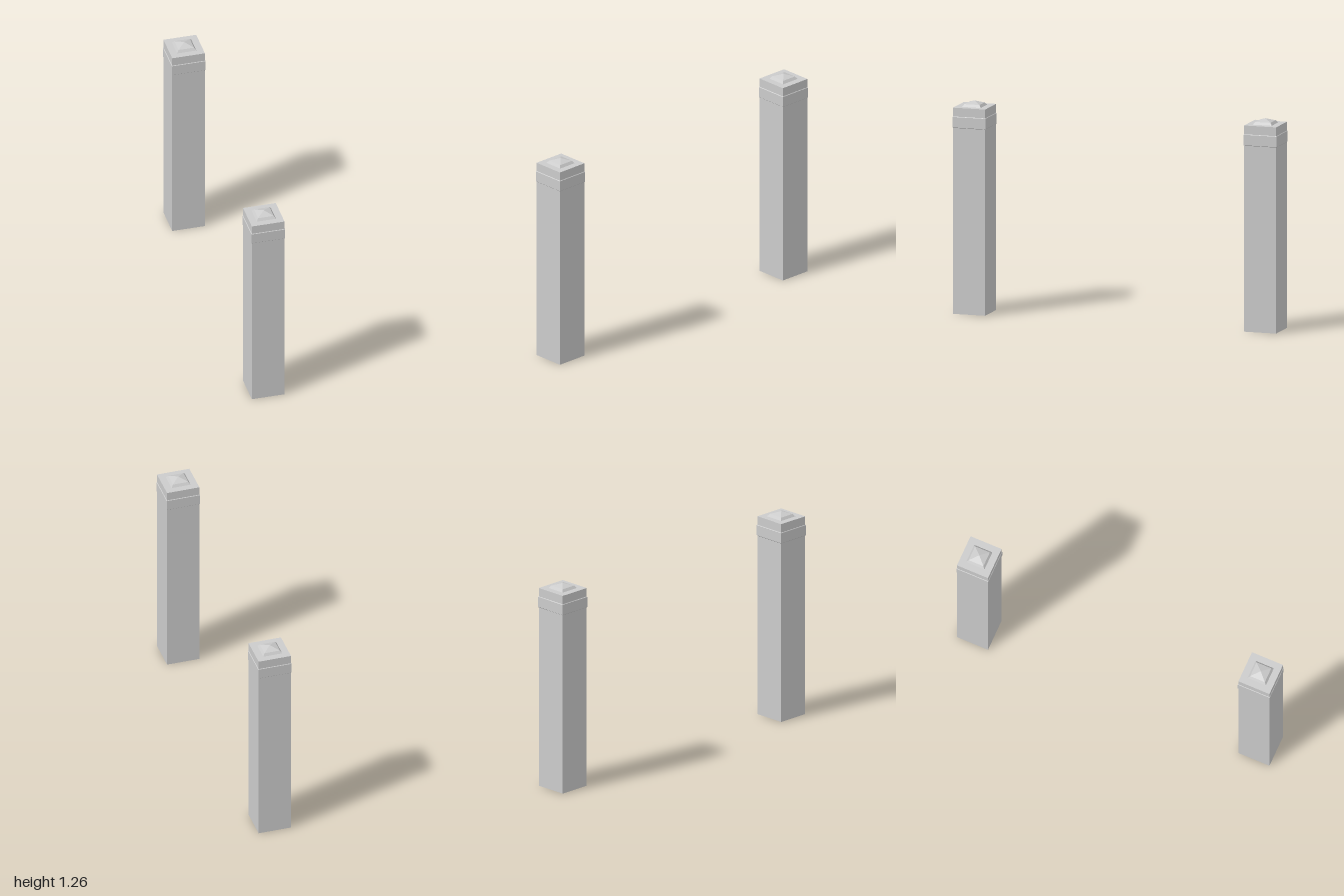
import * as THREE from 'three';

const material = new THREE.MeshStandardMaterial({ color: 0xcccccc, flatShading: true });

// Square solid from [half width, height] pairs, listed bottom to top
function squareTurned(name, profile) {
  const points = profile.map(([half, y]) => new THREE.Vector2(half * Math.SQRT2, y));
  const mesh = new THREE.Mesh(new THREE.LatheGeometry(points, 4, Math.PI / 4), material);
  mesh.name = name;
  return mesh;
}

function createPost(name) {
  const post = new THREE.Group();
  post.name = name;

  // Plain square shaft
  const shaft = new THREE.Mesh(new THREE.BoxGeometry(0.198, 1.225, 0.198), material);
  shaft.position.y = 1.225 / 2;
  shaft.name = 'shaft';

  // Thin collar with slightly bevelled edges
  const collar = squareTurned('collar', [
    [0.098, 1.104], [0.102, 1.108], [0.102, 1.17], [0.098, 1.174],
  ]);

  // Low two-slope pyramid on top
  const cap = squareTurned('cap', [[0.059, 1.224], [0.047, 1.24], [0, 1.257]]);

  post.add(shaft, collar, cap);
  return post;
}

export function createModel() {
  const model = new THREE.Group();
  model.name = 'gatePosts';
  for (const [name, side] of [['frontPost', 1], ['backPost', -1]]) {
    const post = createPost(name);
    post.position.z = side * 0.898;
    model.add(post);
  }
  return model;
}
